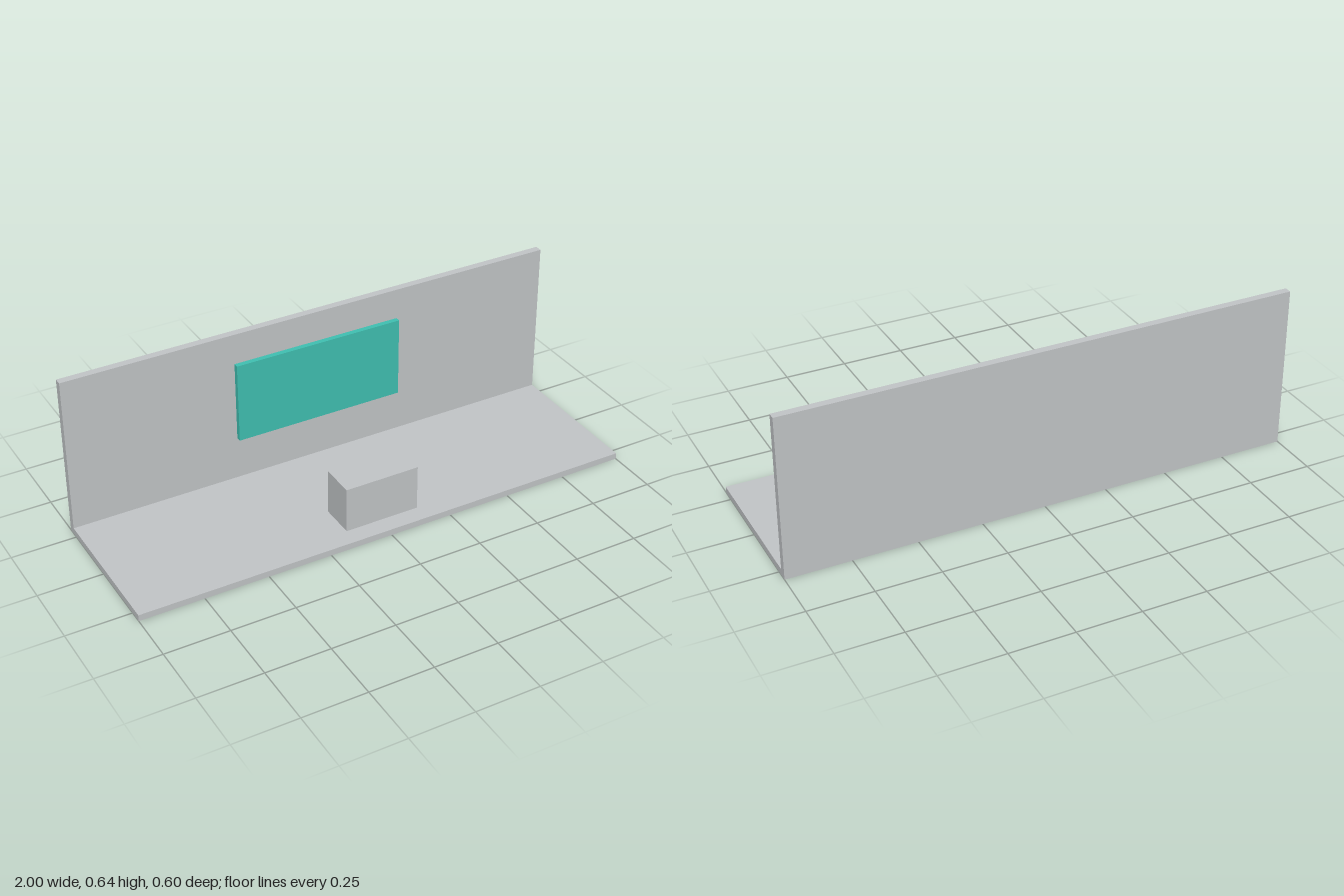
import * as THREE from 'three';

export function createModel() {
  const group = new THREE.Group();
  const material = (name, color) => {
    const m = new THREE.MeshStandardMaterial({ color });
    m.name = name;
    return m;
  };
  const grey = material('light grey', 0xc3c6c8);
  const teal = material('teal', 0x40c1b2);
  const slate = material('slate blue', 0x4d6a80);

  // Box centred on x, given its width and its y and z ranges
  const addBox = (name, mat, width, y0, y1, z0, z1) => {
    const mesh = new THREE.Mesh(new THREE.BoxGeometry(width, y1 - y0, z1 - z0), mat);
    mesh.position.set(0, (y0 + y1) / 2, (z0 + z1) / 2);
    mesh.name = name;
    group.add(mesh);
  };

  // Floor slab and back wall meeting in an L
  addBox('floor', grey, 2, 0, 0.025, -0.272, 0.301);
  addBox('backWall', grey, 2, 0, 0.642, -0.301, -0.272);

  // Counter standing on the floor
  addBox('counter', grey, 0.296, 0.025, 0.205, 0.091, 0.23);

  // Display panel with its backing plate, just clear of the wall
  addBox('displayPanel', teal, 0.68, 0.212, 0.532, -0.254, -0.234);
  addBox('panelBacking', slate, 0.66, 0.229, 0.515, -0.264, -0.254);

  return group;
}
